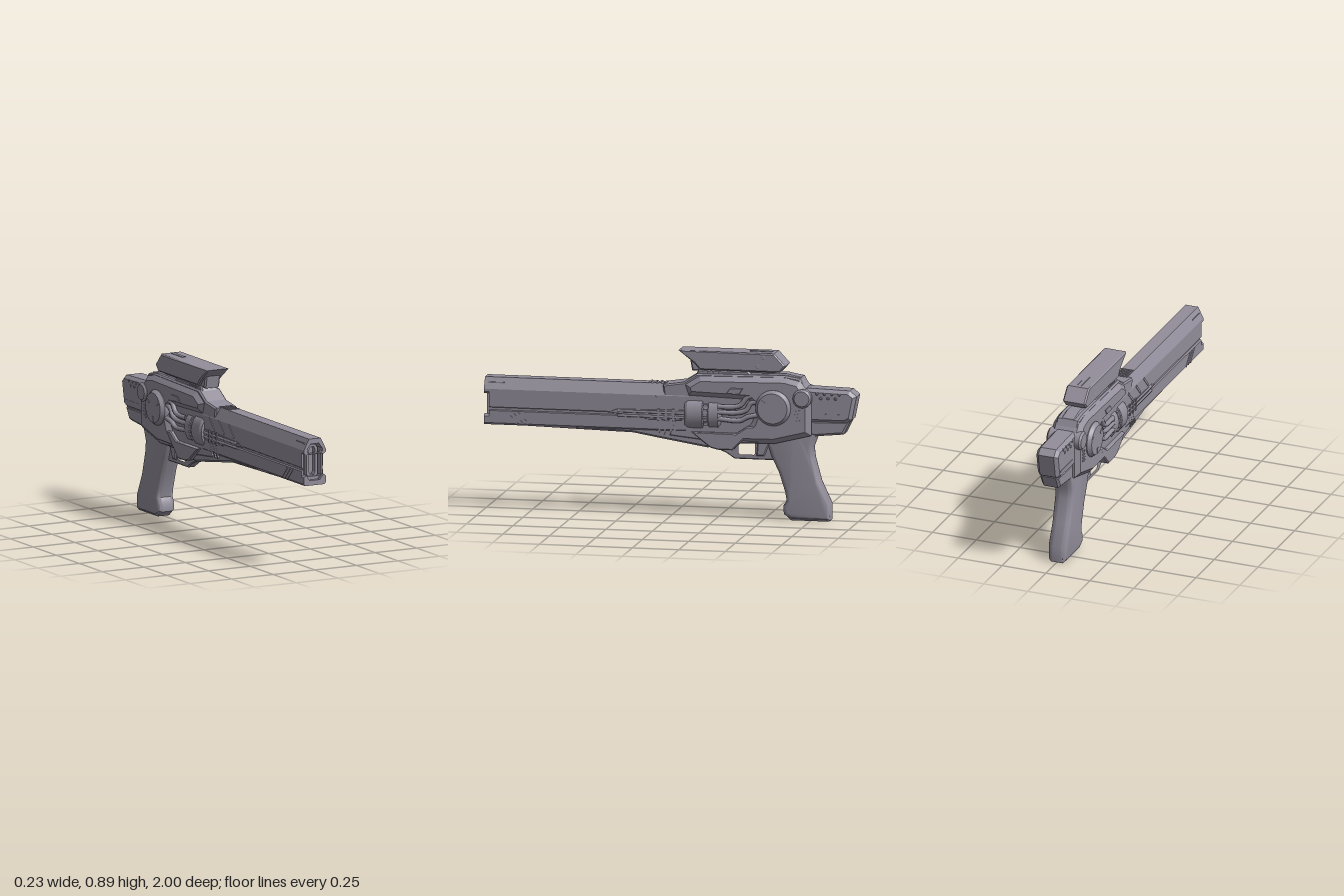
import * as THREE from 'three';
import { toCreasedNormals } from 'three/addons/utils/BufferGeometryUtils.js';

const mat = new THREE.MeshStandardMaterial({ color: 0x938e9b });
const shapeOf = (pts) => new THREE.Shape(pts.map(([a, b]) => new THREE.Vector2(a, b)));

export function createModel() {
  const model = new THREE.Group();

  function add(name, geo, x = 0, y = 0, z = 0) {
    const mesh = new THREE.Mesh(geo, mat);
    mesh.name = name;
    mesh.position.set(x, y, z);
    model.add(mesh);
    return mesh;
  }

  // Side profile of [z, y] points, extruded across x with a chamfer cut inwards
  function slab(name, pts, half, { bevel = 0.008, thick = bevel, segs = 1, holes = [], x = 0, crease = 0.3 } = {}) {
    const shape = shapeOf(pts);
    shape.holes = holes.map((h) => new THREE.Path(shapeOf(h).getPoints()));
    const geo = new THREE.ExtrudeGeometry(shape, {
      depth: 2 * (half - thick), bevelEnabled: true, bevelSize: bevel, bevelThickness: thick,
      bevelOffset: -bevel, bevelSegments: segs,
    });
    geo.translate(0, 0, -(half - thick));
    geo.rotateY(-Math.PI / 2);
    return add(name, toCreasedNormals(geo, crease), x);
  }

  // Cross-section of [x, y] points given for one side, mirrored and run along z
  function beam(name, side, z0, z1, hole) {
    const full = (s) => shapeOf([...s, ...s.map(([x, y]) => [-x, y]).reverse()]);
    const shape = full(side);
    if (hole) shape.holes.push(new THREE.Path(full(hole).getPoints()));
    const geo = new THREE.ExtrudeGeometry(shape, { depth: z1 - z0, bevelEnabled: false });
    return add(name, geo, 0, 0, z0);
  }

  const box = (name, w, h, d, x, y, z, tilt = 0) => {
    const m = add(name, new THREE.BoxGeometry(w, h, d), x, y, z);
    m.rotation.x = tilt;
    return m;
  };

  const lathe = (profile, segs) => toCreasedNormals(
    new THREE.LatheGeometry(profile.map(([r, h]) => new THREE.Vector2(r, h)), segs), 0.5);

  // Turned disc facing sideways; profile is [radius, distance along x]
  function disc(name, side, profile, y, z, segs = 32) {
    const m = add(name, lathe(profile, segs), 0, y, z);
    m.rotation.z = -side * Math.PI / 2;
    return m;
  }

  // Barrel with side groove and a hollow octagonal bore
  const bore = [[0.024, 0.482], [0.045, 0.505], [0.045, 0.65], [0.024, 0.678]];
  beam('barrel', [[0.058, 0.455], [0.066, 0.465], [0.066, 0.53], [0.058, 0.534], [0.058, 0.546],
    [0.066, 0.55], [0.066, 0.645], [0.035, 0.705]], -0.1, 0.972, bore);
  beam('muzzleTop', [[0.055, 0.62], [0.066, 0.63], [0.066, 0.645], [0.035, 0.705]], 0.972, 1,
    [[0.038, 0.625], [0.045, 0.635], [0.045, 0.65], [0.024, 0.678]]);
  beam('muzzleBottom', [[0.058, 0.455], [0.066, 0.465], [0.066, 0.5], [0.052, 0.512], [0.03, 0.482]], 0.972, 1);
  beam('muzzleLiner', [[0.03, 0.47], [0.053, 0.5], [0.053, 0.655], [0.03, 0.69]], 0.95, 0.985, bore);
  beam('boreCore', bore, 0.5, 0.94);
  beam('boreRing', [[0.018, 0.49], [0.033, 0.51], [0.033, 0.648], [0.018, 0.668]], 0.93, 0.97,
    [[0.01, 0.505], [0.018, 0.52], [0.018, 0.64], [0.01, 0.655]]);
  slab('barrelUnderside', [[0.98, 0.458], [0.2, 0.44], [0.02, 0.41], [-0.2, 0.375], [-0.32, 0.4],
    [-0.34, 0.5], [0.98, 0.5]], 0.06, { bevel: 0.01 });
  for (let i = 0; i < 4; i++) box('topRib', 0.07, 0.016, 0.012, 0, 0.701, 0.115 - i * 0.027);

  // Receiver: a core, with a wide chamfered shell notched round the canisters and pipes
  slab('receiverCore', [[0.04, 0.703], [-0.07, 0.72], [-0.145, 0.768], [-0.62, 0.775], [-0.7, 0.762], [-0.74, 0.68],
    [-0.74, 0.47], [-0.56, 0.41], [-0.3, 0.4], [0, 0.43]], 0.064);
  slab('receiverShell', [[-0.08, 0.71], [-0.16, 0.76], [-0.62, 0.768], [-0.7, 0.75], [-0.76, 0.67], [-0.76, 0.46],
    [-0.56, 0.41], [-0.36, 0.42], [-0.44, 0.52], [-0.47, 0.6], [-0.42, 0.64], [-0.1, 0.65]], 0.086,
  { bevel: 0.028, thick: 0.024 });
  slab('topPlate', [[-0.11, 0.73], [-0.15, 0.772], [-0.62, 0.782], [-0.7, 0.766], [-0.715, 0.7]], 0.04);
  slab('belly', [[-0.12, 0.46], [-0.22, 0.38], [-0.26, 0.37], [-0.34, 0.37], [-0.4, 0.43], [-0.56, 0.44],
    [-0.56, 0.5], [-0.42, 0.5], [-0.36, 0.46]], 0.085, { bevel: 0.006 });

  // Trigger guard with its opening ahead of the trigger
  slab('triggerGuard', [[-0.2, 0.38], [-0.29, 0.347], [-0.34, 0.315], [-0.545, 0.315], [-0.62, 0.36], [-0.62, 0.46],
    [-0.2, 0.46]], 0.024, { bevel: 0.005, holes: [[[-0.355, 0.345], [-0.365, 0.335], [-0.445, 0.335], [-0.455, 0.345],
      [-0.455, 0.42], [-0.445, 0.43], [-0.365, 0.43], [-0.355, 0.42]]] });
  slab('trigger', [[-0.455, 0.44], [-0.462, 0.39], [-0.457, 0.335], [-0.5, 0.335], [-0.54, 0.44]], 0.03, { bevel: 0.006 });

  // Grip with rounded sides
  slab('grip', [[-0.5, 0.46], [-0.54, 0.335], [-0.58, 0.25], [-0.612, 0.15], [-0.62, 0.105], [-0.602, 0.075],
    [-0.605, 0.03], [-0.645, 0.005], [-0.855, 0.005], [-0.856, 0.09], [-0.8, 0.21], [-0.766, 0.335],
    [-0.76, 0.39], [-0.79, 0.47], [-0.66, 0.53]], 0.052, { bevel: 0.024, thick: 0.03, segs: 5, crease: 0.7 });
  slab('gripCap', [[-0.645, 0], [-0.85, 0], [-0.855, 0.03], [-0.615, 0.03]], 0.046, { bevel: 0.012 });

  // Rear block in two steps
  slab('rearBlock', [[-0.66, 0.7], [-0.74, 0.712], [-0.965, 0.705], [-1, 0.675], [-0.975, 0.55], [-0.94, 0.53],
    [-0.66, 0.53]], 0.062, { bevel: 0.018 });
  slab('rearLowerBlock', [[-0.66, 0.54], [-0.965, 0.54], [-0.93, 0.47], [-0.78, 0.455], [-0.66, 0.46]], 0.052,
    { bevel: 0.012 });

  // Sight with overhanging hood, lens and mount
  slab('sightHood', [[-0.045, 0.89], [-0.56, 0.89], [-0.62, 0.825], [-0.59, 0.79], [-0.16, 0.79], [-0.13, 0.825]],
    0.064, { bevel: 0.007 });
  slab('sightLens', [[-0.1, 0.86], [-0.115, 0.78], [-0.56, 0.78], [-0.56, 0.86]], 0.045);
  slab('sightTopRail', [[-0.42, 0.88], [-0.42, 0.893], [-0.54, 0.893], [-0.56, 0.88]], 0.012, { bevel: 0.002 });
  slab('sightMount', [[-0.15, 0.79], [-0.125, 0.74], [-0.46, 0.74], [-0.42, 0.79]], 0.05);

  // Canister body turned along z, with a raised band
  const can = [[0, -0.1], [0.06, -0.1], [0.075, -0.09], [0.084, -0.08], [0.084, -0.03], [0.076, -0.026],
    [0.076, 0.0], [0.09, 0.004], [0.09, 0.085], [0.08, 0.1], [0, 0.1]];

  for (const s of [1, -1]) {
    const canister = add('canister', lathe(can, 32), s * 0.024, 0.552, -0.18);
    canister.rotation.x = Math.PI / 2;
    canister.scale.x = 0.76;
    for (let i = -3; i <= 3; i++) {
      const a = i * 0.33;
      box('canisterTooth', 0.01, 0.015, 0.022, s * (0.024 + 0.06 * Math.cos(a)), 0.552 + 0.08 * Math.sin(a), -0.194);
    }

    // Pipes from the canister to the drum
    const pipes = [[[0.6, -0.26], [0.6, -0.34], [0.61, -0.38], [0.655, -0.42], [0.665, -0.47], [0.65, -0.53]],
      [[0.57, -0.26], [0.57, -0.36], [0.585, -0.41], [0.625, -0.44], [0.635, -0.52]],
      [[0.535, -0.26], [0.53, -0.38], [0.55, -0.42], [0.57, -0.52]]];
    for (const p of pipes) {
      const curve = new THREE.CatmullRomCurve3(p.map(([y, z]) => new THREE.Vector3(s * 0.074, y, z)));
      add('pipe', new THREE.TubeGeometry(curve, 24, 0.013, 8));
    }

    // Large drum with raised keys, small drum and vents
    disc('drum', s, [[0.095, 0.04], [0.095, 0.09], [0.08, 0.111], [0, 0.111]], 0.605, -0.56);
    for (let i = 0; i < 3; i++) {
      const a = 0.5 + i * 2.094;
      box('drumKey', 0.006, 0.014, 0.028, s * 0.11, 0.605 + 0.06 * Math.sin(a), -0.56 - 0.06 * Math.cos(a), a);
    }
    disc('smallDrum', s, [[0.05, 0.03], [0.05, 0.088], [0.04, 0.098], [0, 0.098]], 0.66, -0.715, 24);
    for (let i = 0; i < 4; i++) box('drumVent', 0.012, 0.01, 0.03, s * 0.083, 0.59 - i * 0.018, -0.69, 0.2);

    // Studs on the rear block and screws on the sight
    for (let i = 0; i < 7; i++) {
      disc('stud', s, [[0.008, 0.05], [0.008, 0.062], [0.005, 0.065], [0, 0.065]], i % 2 ? 0.662 : 0.685, -0.79 - i * 0.02, 10);
    }
    for (const [y, z] of [[0.868, -0.5], [0.82, -0.47]]) {
      disc('sightScrew', s, [[0.012, 0.05], [0.012, 0.064], [0.008, 0.066], [0, 0.066]], y, z, 12);
    }
    box('rearTrim', 0.006, 0.008, 0.16, s * 0.061, 0.575, -0.87);

    // Rods and shroud along the barrel side
    slab('rodShroud', [[0.33, 0.545], [0.29, 0.565], [-0.1, 0.575], [-0.1, 0.515], [0.12, 0.515], [0.16, 0.53]], 0.005,
      { bevel: 0.003, x: s * 0.063 });
    for (const y of [0.532, 0.555]) {
      add('rod', new THREE.CylinderGeometry(0.007, 0.007, 0.36, 8), s * 0.067, y, 0.1).rotation.x = Math.PI / 2;
    }

    // Diagonal fins, vents and clamps
    for (let i = 0; i < 3; i++) {
      box('diagonalFin', 0.008, 0.012, 0.085, s * 0.065, 0.61, 0.21 - i * 0.105, 0.8);
      box('muzzleVent', 0.006, 0.01, 0.085, s * 0.065, 0.494, 0.85 - i * 0.03, -0.8);
      box('lowerVent', 0.008, 0.08, 0.01, s * 0.063, 0.475, 0.05 - i * 0.03, -0.4);
      box('rodClamp', 0.012, 0.065, 0.012, s * 0.068, 0.543, 0.06 - i * 0.04);
      box('mountRib', 0.01, 0.045, 0.01, s * 0.05, 0.767, -0.2 - i * 0.03, 0.5);
    }
    slab('sideWindow', [[-0.3, 0.67], [-0.33, 0.705], [-0.4, 0.705], [-0.38, 0.67]], 0.01, { bevel: 0.005, x: s * 0.079 });
    box('muzzleMark', 0.006, 0.006, 0.09, s * 0.05, 0.678, 0.935);
  }

  return model;
}
